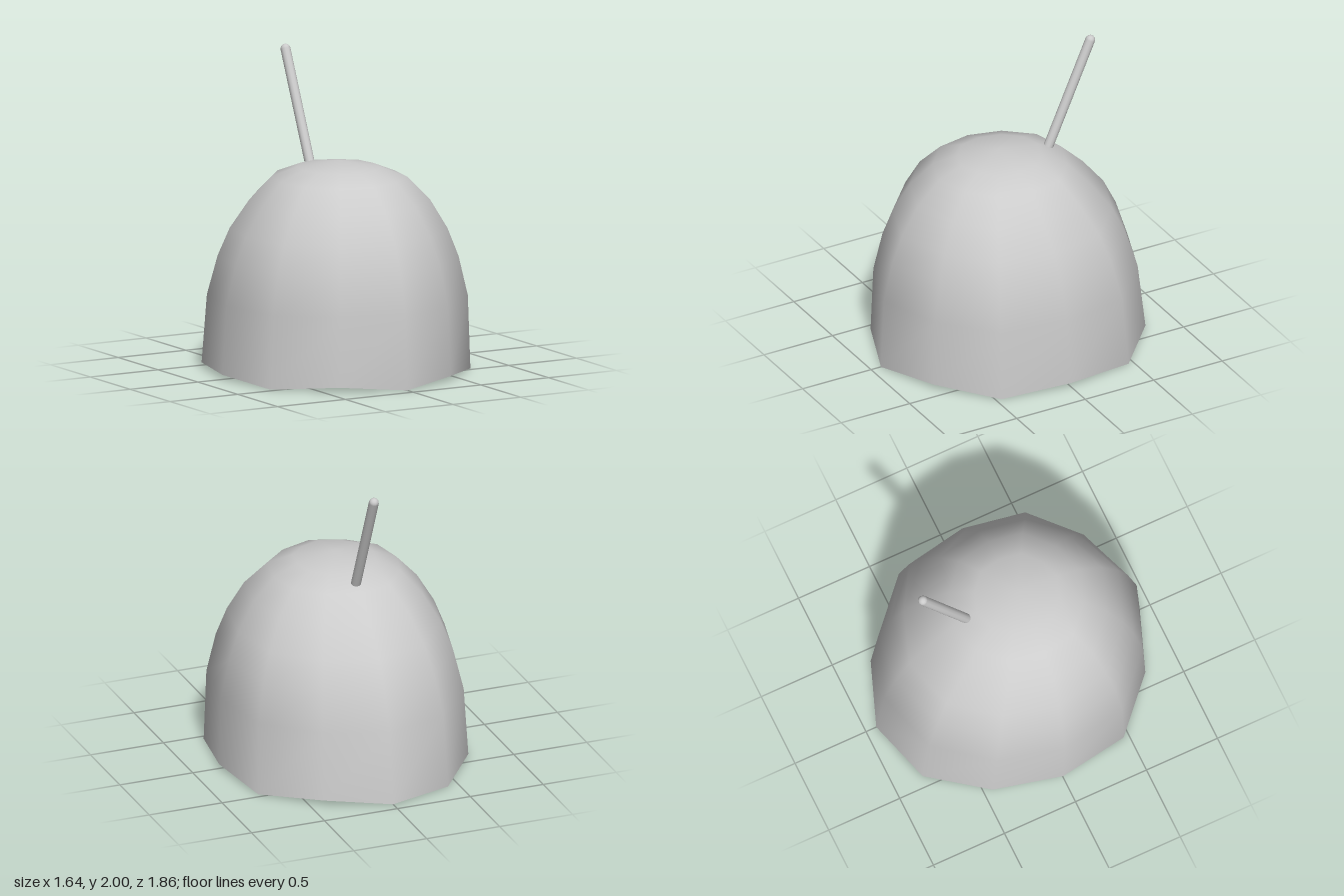
import * as THREE from 'three';

const SIDES = 12;
// Dome rings from rim to crown: height, half width, half depth, centre z
const RINGS = [
  [0.03, 0.82, 0.892, 0], [0.475, 0.8, 0.854, 0.018], [0.73, 0.74, 0.784, 0.03],
  [0.91, 0.67, 0.707, 0.04], [1.095, 0.56, 0.58, 0.058], [1.245, 0.42, 0.43, 0.058],
  [1.31, 0.26, 0.272, 0.062],
];
const APEX = [0, 1.355, 0.07];

// Alternate corners bulge outwards; one pair at the back is swapped
const isWide = (i) => (i === 7 || i === 8 ? i === 7 : i % 2 === 0);

function domeGeometry() {
  const positions = [];
  const index = [];
  RINGS.forEach(([y, rx, rz, cz], r) => {
    for (let i = 0; i < SIDES; i++) {
      const a = (i / SIDES) * Math.PI * 2;
      const k = isWide(i) ? 1.04 : 1;
      const h = r === 0 && isWide(i) ? 0 : y; // wide corners dip at the rim
      positions.push(rx * k * Math.sin(a), h, cz + rz * k * Math.cos(a));
    }
  });
  positions.push(...APEX);
  const top = RINGS.length * SIDES;
  for (let r = 0; r < RINGS.length; r++) {
    for (let i = 0; i < SIDES; i++) {
      const a = r * SIDES + i;
      const b = r * SIDES + ((i + 1) % SIDES);
      if (r === RINGS.length - 1) index.push(a, b, top);
      else index.push(a, b, b + SIDES, a, b + SIDES, a + SIDES);
    }
  }
  const geometry = new THREE.BufferGeometry();
  geometry.setAttribute('position', new THREE.Float32BufferAttribute(positions, 3));
  geometry.setIndex(index);
  geometry.computeVertexNormals();
  return geometry;
}

export function createModel() {
  const group = new THREE.Group();

  // Open, faceted dome shell
  const dome = new THREE.Mesh(
    domeGeometry(),
    new THREE.MeshStandardMaterial({ color: 0xcccccc, side: THREE.DoubleSide })
  );
  dome.name = 'domeShell';
  group.add(dome);

  // Round-ended stem leaning backwards out of the crown
  const base = new THREE.Vector3(0, 1.27, -0.292);
  const tip = new THREE.Vector3(0, 1.968, -0.6);
  const axis = tip.clone().sub(base);
  const stem = new THREE.Mesh(
    new THREE.CapsuleGeometry(0.032, axis.length(), 4, 12),
    new THREE.MeshStandardMaterial({ color: 0xcccccc })
  );
  stem.name = 'stem';
  stem.position.copy(base).add(tip).multiplyScalar(0.5);
  stem.quaternion.setFromUnitVectors(new THREE.Vector3(0, 1, 0), axis.normalize());
  group.add(stem);

  return group;
}
